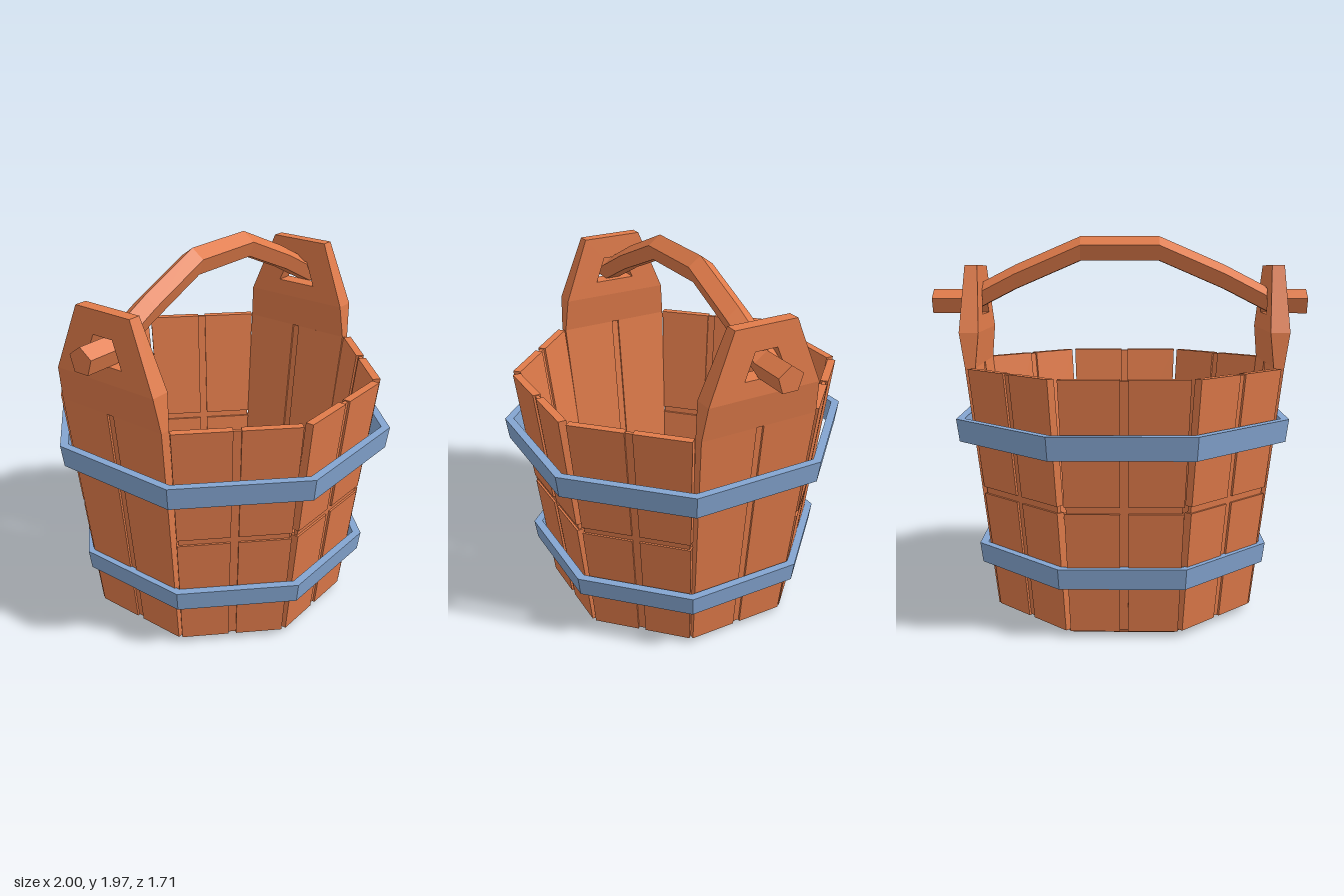
import * as THREE from 'three';

const wood = new THREE.MeshStandardMaterial({ color: 0xe07b4a, flatShading: true });
const metal = new THREE.MeshStandardMaterial({ color: 0x84a5d0, flatShading: true });
const lerp = THREE.MathUtils.lerp;

// Piecewise linear function through [y, value] points
const ramp = (...pts) => (y) => {
  let i = 1;
  while (i < pts.length - 1 && y > pts[i][0]) i++;
  const [y0, a] = pts[i - 1], [y1, b] = pts[i];
  return lerp(a, b, (y - y0) / (y1 - y0));
};

const shortStave = {
  outer: ramp([0.03, 0.672], [1.3, 0.815]),
  inner: ramp([0.03, 0.63], [1.3, 0.773]),
  half: ramp([0.03, 0.265], [1.3, 0.31]),
};
const tallStave = {
  outer: ramp([0.03, 0.672], [1.3, 0.815], [1.48, 0.845], [1.82, 0.83]),
  inner: ramp([0.03, 0.63], [1.3, 0.762], [1.48, 0.745], [1.82, 0.765]),
  half: ramp([0.03, 0.272], [1.3, 0.322], [1.48, 0.305], [1.82, 0.168]),
};

function addMesh(parent, name, geometry, material) {
  const mesh = new THREE.Mesh(geometry, material);
  mesh.name = name;
  parent.add(mesh);
  return mesh;
}

// Moves every vertex by a rule
function reshape(geometry, rule) {
  const p = geometry.attributes.position;
  for (let i = 0; i < p.count; i++) p.setXYZ(i, ...rule(p.getX(i), p.getY(i), p.getZ(i)));
  geometry.computeVertexNormals();
  return geometry;
}

// Tapered block following a stave, from left(y) to right(y), sunk by inset on both faces
function block(stave, y0, y1, left, right, inset = 0) {
  return reshape(new THREE.BoxGeometry(1, 1, 1), (bx, by, bz) => {
    const y = lerp(y0, y1, by + 0.5);
    const z = lerp(stave.inner(y) + inset, stave.outer(y) - inset, bz + 0.5);
    return [lerp(left(y), right(y), bx + 0.5), y, z];
  });
}

// Raised boards on both sides of a centre groove, over a thin core
function addPanels(parent, stave, rows) {
  const h = stave.half;
  for (const [y0, y1] of rows) {
    addMesh(parent, 'boardLeft', block(stave, y0, y1, () => 0.02, h), wood);
    addMesh(parent, 'boardRight', block(stave, y0, y1, (y) => -h(y), () => -0.02), wood);
  }
  addMesh(parent, 'core', block(stave, 0.035, 1.295, (y) => 0.008 - h(y), (y) => h(y) - 0.008, 0.011), wood);
}

// Upper end of a tall stave, with the hole for the handle
function lugGeometry() {
  const shape = new THREE.Shape();
  shape.moveTo(-0.305, 1.48).lineTo(0.305, 1.48).lineTo(0.168, 1.82).lineTo(-0.168, 1.82).closePath();
  const hole = new THREE.Path();
  hole.moveTo(-0.115, 1.565).lineTo(-0.06, 1.7).lineTo(0.06, 1.7).lineTo(0.115, 1.565).closePath();
  shape.holes.push(hole);
  const g = new THREE.ExtrudeGeometry(shape, { depth: 1, bevelEnabled: false });
  return reshape(g, (x, y, z) => [x, y, lerp(tallStave.inner(y), tallStave.outer(y), z)]);
}

// Octagonal solid of revolution with flats facing the axes; profile is [apothem, y]
function octagon(profile) {
  const c = Math.cos(Math.PI / 8);
  const pts = profile.map(([a, y]) => new THREE.Vector2(a / c, y));
  return new THREE.LatheGeometry(pts, 8, Math.PI / 8);
}

// Pentagonal bar swept along a bent path in the x-y plane
function barGeometry(path, radius) {
  const pos = [], index = [], n = 5;
  for (const [x, y] of path)
    for (let k = 0; k < n; k++) {
      const a = (k / n) * Math.PI * 2;
      pos.push(x, y + Math.cos(a) * radius, Math.sin(a) * radius);
    }
  const last = (path.length - 1) * n;
  for (let i = 0; i < last; i += n)
    for (let k = 0; k < n; k++) {
      const a = i + k, b = i + ((k + 1) % n);
      index.push(a, b, a + n, b, b + n, a + n);
    }
  for (let k = 1; k < n - 1; k++) {
    index.push(0, k + 1, k);
    index.push(last, last + k, last + k + 1);
  }
  const g = new THREE.BufferGeometry();
  g.setAttribute('position', new THREE.Float32BufferAttribute(pos, 3));
  g.setIndex(index);
  g.computeVertexNormals();
  return g;
}

export function createModel() {
  const model = new THREE.Group();
  model.name = 'bucket';

  const body = new THREE.Group();
  body.name = 'body';
  body.position.set(-0.025, 0, -0.016);
  model.add(body);

  // Eight staves; the left and right ones rise to hold the handle
  for (let k = 0; k < 8; k++) {
    const tall = k % 4 === 2;
    const stave = new THREE.Group();
    stave.name = tall ? 'handleStave' : 'stave';
    stave.rotation.y = (k * Math.PI) / 4;
    body.add(stave);
    if (tall) {
      addPanels(stave, tallStave, [[0.03, 1.3]]);
      addMesh(stave, 'shoulder', block(tallStave, 1.3, 1.48, (y) => -tallStave.half(y), tallStave.half), wood);
      addMesh(stave, 'lug', lugGeometry(), wood);
    } else {
      addPanels(stave, shortStave, [[0.03, 0.645], [0.68, 1.3]]);
    }
  }

  // Floor with a chamfered underside
  addMesh(body, 'floor', octagon([[0, 0], [0.606, 0], [0.636, 0.035], [0.638, 0.09], [0, 0.09]]), wood);

  // Two slanted hoops
  for (const [name, y0, y1, a0, a1] of [
    ['upperHoop', 0.922, 1.04, 0.84, 0.855],
    ['lowerHoop', 0.265, 0.37, 0.74, 0.753],
  ]) {
    const t = 0.042;
    const hoop = addMesh(model, name, octagon([[a0 - t, y0], [a0, y0], [a1, y1], [a1 - t, y1], [a0 - t, y0]]), metal);
    hoop.position.set(-0.015, 0, -0.002);
  }

  // Bent carrying handle
  const half = [[0.21, 1.902], [0.56, 1.752], [0.81, 1.624], [1, 1.624]];
  const path = [...half.map(([x, y]) => [-x, y]).reverse(), ...half];
  addMesh(model, 'handle', barGeometry(path, 0.071), wood).position.z = -0.02;

  return model;
}
